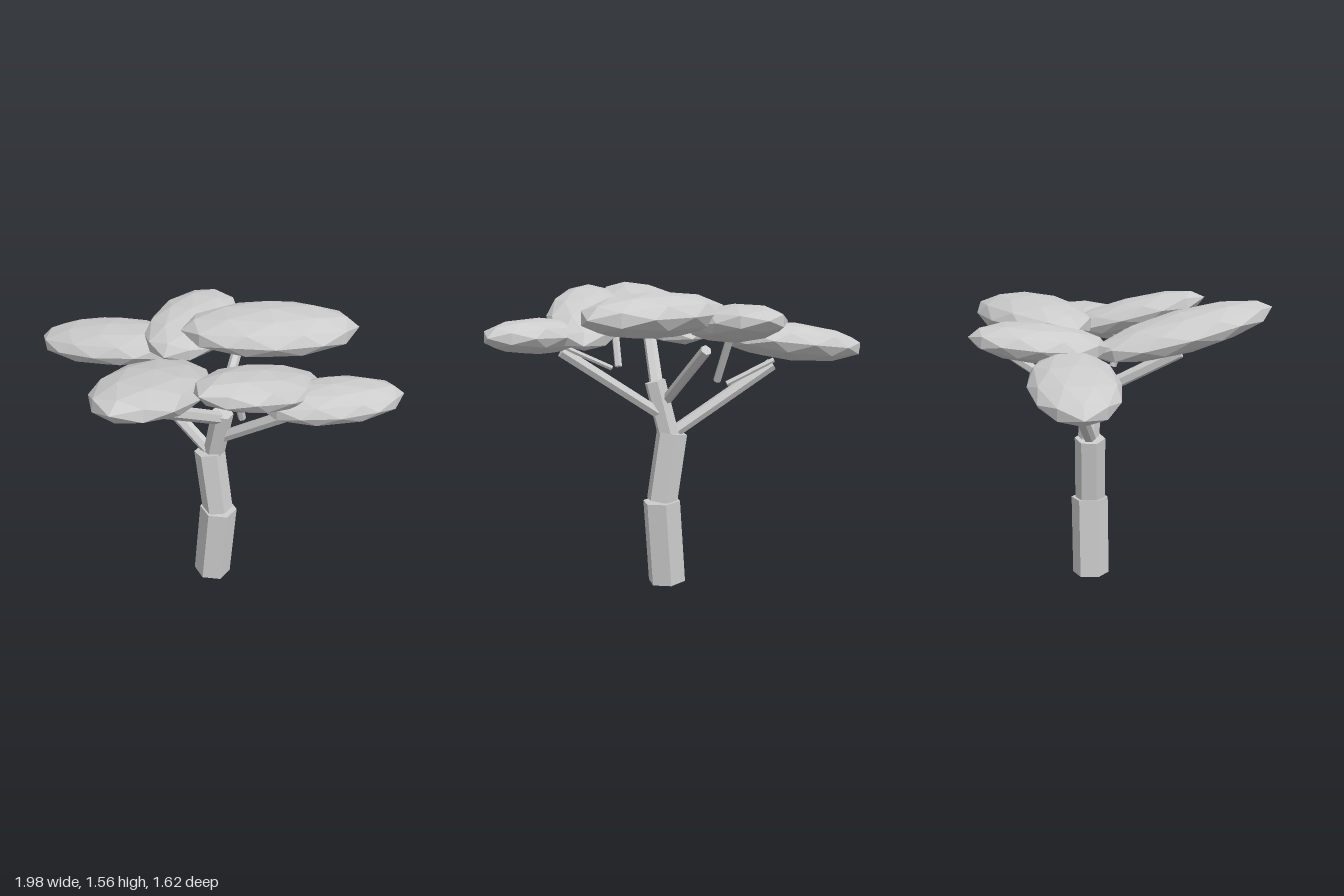
import * as THREE from 'three';

const grey = new THREE.MeshStandardMaterial({ color: 0xcccccc });
grey.name = 'pale grey';

// Faceted normals, one per face
function faceted(geometry) {
  const g = geometry.index ? geometry.toNonIndexed() : geometry;
  g.computeVertexNormals();
  return g;
}

const UP = new THREE.Vector3(0, 1, 0);
const v = (p) => new THREE.Vector3(...p);

// Six-sided prism running from one point to another
function limb(name, from, to, radius) {
  const a = v(from), b = v(to);
  const g = new THREE.CylinderGeometry(radius, radius, a.distanceTo(b), 6, 1, false, 0.14);
  const mesh = new THREE.Mesh(faceted(g), grey);
  mesh.name = name;
  mesh.position.copy(a).add(b).multiplyScalar(0.5);
  mesh.quaternion.setFromUnitVectors(UP, b.sub(a).normalize());
  return mesh;
}

// Flattened faceted ellipsoid: size is [half width, half thickness, half length]
function canopy(name, centre, axis, size) {
  const d = v(axis).normalize();
  const side = new THREE.Vector3().crossVectors(UP, d).normalize();
  const top = new THREE.Vector3().crossVectors(d, side);
  const mesh = new THREE.Mesh(faceted(new THREE.IcosahedronGeometry(1, 1)), grey);
  mesh.name = name;
  mesh.position.set(...centre);
  mesh.quaternion.setFromRotationMatrix(new THREE.Matrix4().makeBasis(side, top, d));
  mesh.scale.set(...size);
  return mesh;
}

export function createModel() {
  const tree = new THREE.Group();
  tree.name = 'tree';

  // Trunk in three crooked sections
  tree.add(
    limb('lowerTrunk', [0.087, 0.007, -0.136], [0.115, 0.45, -0.147], 0.101),
    limb('middleTrunk', [0.112, 0.45, -0.143], [0.058, 0.81, -0.13], 0.083),
    limb('upperTrunk', [0.075, 0.79, -0.145], [0.145, 1.08, -0.13], 0.057),
  );

  // Main branches
  tree.add(
    limb('sideBranch', [0.05, 0.81, -0.13], [-0.475, 1.155, -0.08], 0.034),
    limb('frontBranch', [0.135, 1.04, -0.13], [0.14, 1.29, 0.34], 0.036),
    limb('backBranch', [0.09, 0.98, -0.14], [-0.07, 1.28, -0.52], 0.028),
    limb('sideBranch', [0.12, 0.91, -0.15], [0.62, 1.25, -0.23], 0.032),
  );

  // Thin twigs under the crown
  tree.add(
    limb('twig', [0.33, 1.15, -0.06], [0.345, 1.37, 0.02], 0.02),
    limb('twig', [-0.18, 1.075, -0.11], [-0.235, 1.33, -0.23], 0.02),
    limb('twig', [-0.23, 1.06, -0.12], [-0.48, 1.18, -0.1], 0.014),
    limb('twig', [0.37, 1.16, -0.2], [0.6, 1.27, -0.24], 0.014),
  );

  // Foliage pads
  tree.add(
    canopy('outerFoliage', [-0.59, 1.27, -0.055], [-0.94, -0.12, 0.33], [0.225, 0.1, 0.43]),
    canopy('outerFoliage', [0.73, 1.33, -0.245], [0.65, 0.04, -0.76], [0.18, 0.09, 0.355]),
    canopy('frontFoliage', [0.115, 1.405, 0.355], [0.345, 0.235, 0.91], [0.25, 0.1, 0.49]),
    canopy('sideFoliage', [0.49, 1.41, 0.005], [-0.05, 0.27, 0.96], [0.208, 0.092, 0.435]),
    canopy('backFoliage', [0.17, 1.445, -0.465], [0.7, 0, -0.7], [0.25, 0.112, 0.465]),
    canopy('backFoliage', [-0.24, 1.39, -0.32], [-0.3, 0.1, -0.94], [0.23, 0.097, 0.355]),
  );

  return tree;
}
